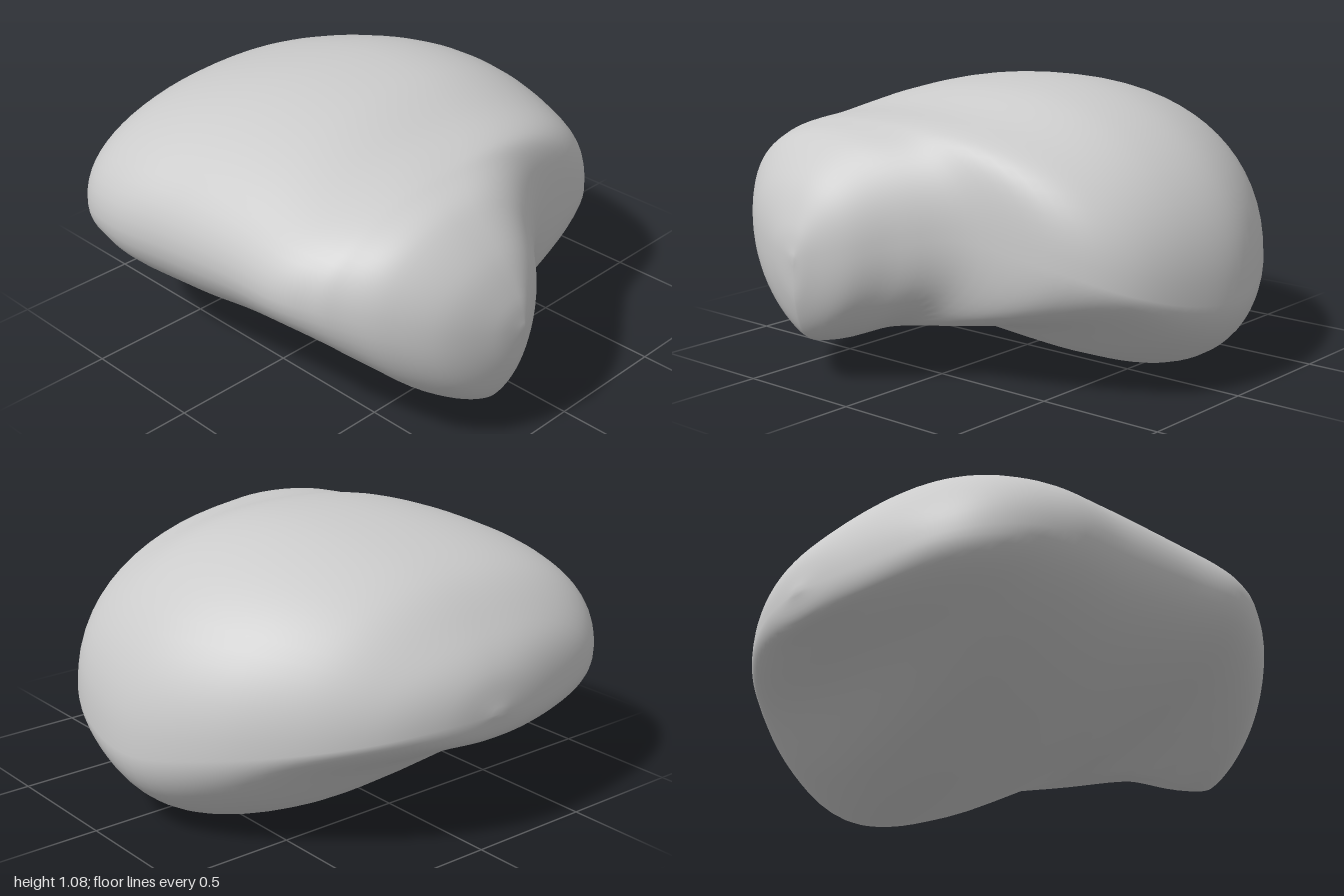
import * as THREE from 'three';
import { mergeVertices } from 'three/addons/utils/BufferGeometryUtils.js';

// Stations along x; each rail gives the [z, y] extreme of the cross-section there.
const xs = [-1, -0.965, -0.87, -0.7, -0.45, -0.15, 0.15, 0.4, 0.55, 0.64, 0.77, 0.9, 0.975, 1];
const rails = {
  back: [[0.07, 0.51], [-0.16, 0.5], [-0.39, 0.47], [-0.61, 0.43], [-0.81, 0.38], [-0.93, 0.33], [-0.91, 0.35],
    [-0.81, 0.42], [-0.61, 0.5], [-0.26, 0.57], [-0.06, 0.55], [0.08, 0.51], [0.2, 0.5], [0.26, 0.5]],
  top: [[0.07, 0.51], [0.08, 0.66], [0.1, 0.79], [0.1, 0.94], [0.05, 1.03], [0, 1.075], [0, 1.06],
    [0.1, 0.995], [0.2, 0.97], [0.27, 0.95], [0.34, 0.9], [0.32, 0.77], [0.28, 0.62], [0.26, 0.5]],
  front: [[0.07, 0.51], [0.34, 0.51], [0.67, 0.53], [0.86, 0.56], [0.93, 0.59], [0.91, 0.61], [0.9, 0.63],
    [0.905, 0.64], [0.865, 0.64], [0.82, 0.63], [0.73, 0.6], [0.58, 0.55], [0.4, 0.51], [0.26, 0.5]],
  bottom: [[0.07, 0.51], [0.08, 0.41], [0.08, 0.36], [-0.02, 0.27], [-0.25, 0.08], [-0.42, 0], [-0.36, 0.08],
    [-0.05, 0.2], [0.15, 0.19], [0.25, 0.17], [0.31, 0.14], [0.31, 0.18], [0.28, 0.32], [0.26, 0.5]],
};

const toCurve = (rail) => new THREE.CatmullRomCurve3(
  rail.map(([z, y], i) => new THREE.Vector3(xs[i], y, z)), false, 'catmullrom', 0.5);

// Closed skin made of four rounded quarters per ring, stretched between the rails
function loftGeometry(rows, cols) {
  const back = toCurve(rails.back), top = toCurve(rails.top);
  const front = toCurve(rails.front), bottom = toCurve(rails.bottom);
  const positions = [], indices = [];
  for (let i = 0; i <= rows; i++) {
    const t = i / rows;
    const b = back.getPoint(t), u = top.getPoint(t), f = front.getPoint(t), d = bottom.getPoint(t);
    // Fullness of the quarters: below 1 is boxier than an ellipse, above 1 is flatter
    const lobe = THREE.MathUtils.smoothstep(b.x, 0.2, 0.7);
    const middle = THREE.MathUtils.smoothstep(b.x, -0.8, -0.25);
    const topPower = 0.92 - 0.05 * lobe;
    const backPower = 1 + 0.3 * lobe;
    const frontPower = 0.85 + 0.5 * middle + 0.15 * lobe;
    for (let j = 0; j < cols; j++) {
      const a = (j / cols) * Math.PI * 2;
      const c = Math.cos(a), s = Math.sin(a);
      const h = c > 0 ? b : f;
      const v = s > 0 ? u : d;
      const power = s > 0 ? topPower : (c > 0 ? backPower : frontPower);
      positions.push(b.x,
        h.y + (v.y - h.y) * Math.abs(s) ** Math.min(power, 1),
        v.z + (h.z - v.z) * Math.abs(c) ** power);
    }
  }
  for (let i = 0; i < rows; i++) {
    for (let j = 0; j < cols; j++) {
      const k = (j + 1) % cols;
      const p = i * cols + j, q = i * cols + k, r = p + cols, w = q + cols;
      if (i > 0) indices.push(p, q, r);
      if (i < rows - 1) indices.push(q, w, r);
    }
  }
  let geometry = new THREE.BufferGeometry();
  geometry.setAttribute('position', new THREE.Float32BufferAttribute(positions, 3));
  geometry.setIndex(indices);
  // Weld the rings at both tips into single points
  geometry = mergeVertices(geometry, 1e-4);
  geometry.computeVertexNormals();
  return geometry;
}

export function createModel() {
  const group = new THREE.Group();
  group.name = 'lobedStone';
  const material = new THREE.MeshStandardMaterial({ color: 0xcccccc });
  const body = new THREE.Mesh(loftGeometry(78, 64), material);
  body.name = 'stoneBody';
  group.add(body);
  return group;
}
